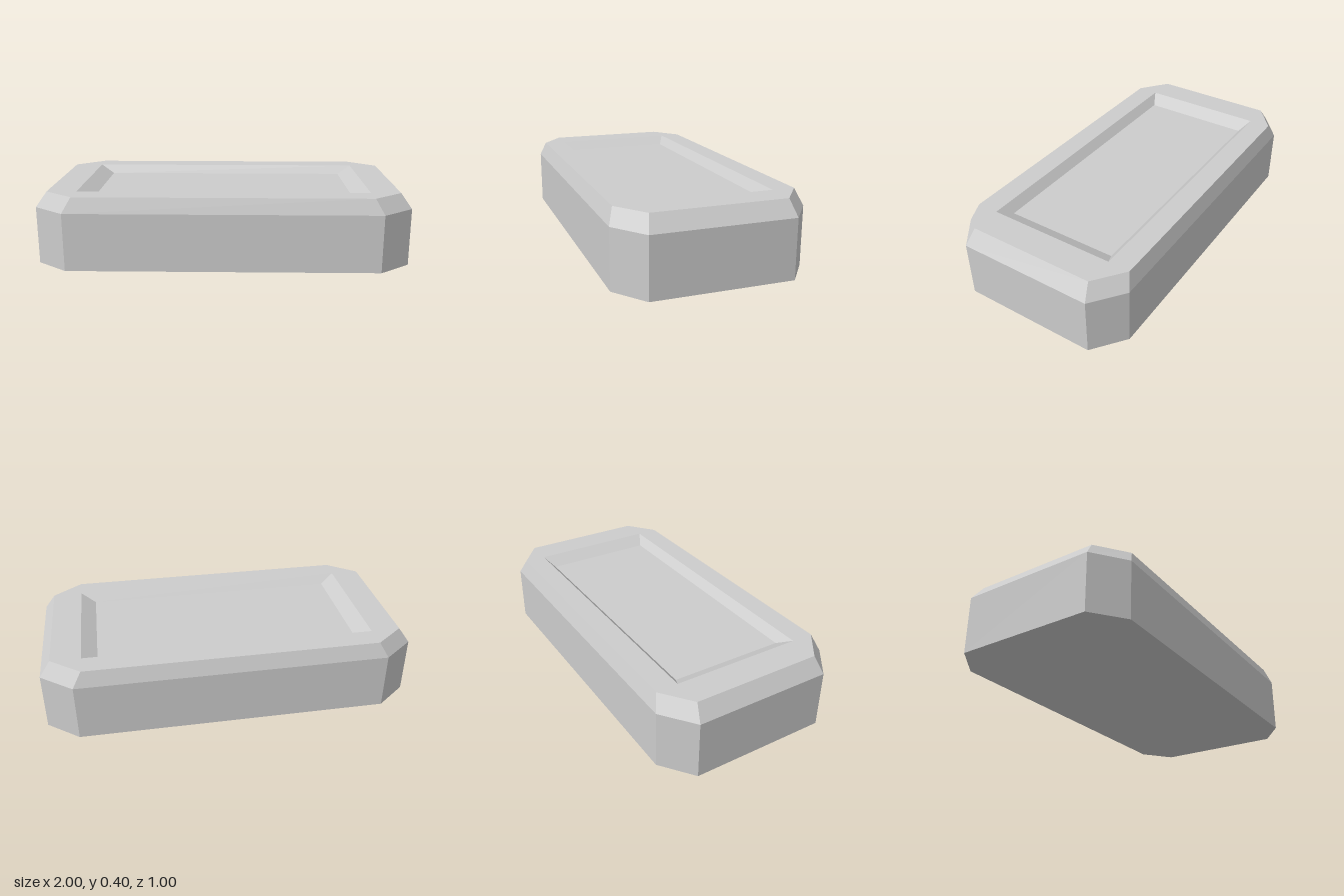
import * as THREE from 'three';

// Chamfered rectangle at height y: half sizes hx, hz; chamfers start at cx, cz
function ring(y, hx, hz, cx = hx, cz = hz) {
  return [[hx, cz], [hx, -cz], [cx, -hz], [-cx, -hz], [-hx, -cz], [-hx, cz], [-cx, hz], [cx, hz]]
    .map(([x, z]) => new THREE.Vector3(x, y, z));
}

// Flat-faced geometry from triangles, leaving out empty ones
function fromTriangles(triangles) {
  const points = triangles
    .filter(([a, b, c]) => new THREE.Triangle(a, b, c).getArea() > 1e-6)
    .flat();
  const geometry = new THREE.BufferGeometry().setFromPoints(points);
  geometry.computeVertexNormals();
  return geometry;
}

// Band of faces from one ring to the next
function band(from, to) {
  return fromTriangles(from.flatMap((a, i) => {
    const j = (i + 1) % from.length;
    return [[a, from[j], to[j]], [a, to[j], to[i]]];
  }));
}

// Flat face filling a ring
function cap(points) {
  return fromTriangles(points.slice(1, -1).map((p, i) => [points[0], p, points[i + 2]]));
}

export function createModel() {
  const group = new THREE.Group();
  group.name = 'recessedSlab';
  const grey = new THREE.MeshStandardMaterial({ color: 0xcccccc, flatShading: true });
  grey.name = 'lightGrey';

  const base = ring(0, 1, 0.5, 0.832, 0.37);
  const shoulder = ring(0.313, 1, 0.5, 0.832, 0.37);
  const top = ring(0.395, 0.942, 0.471, 0.785, 0.35);
  const recessEdge = ring(0.395, 0.783, 0.352);
  const recessBottom = ring(0.35, 0.702, 0.31);

  const parts = {
    underside: cap([...base].reverse()),
    sideWalls: band(base, shoulder),
    bevel: band(shoulder, top),
    topRim: band(top, recessEdge),
    recessWalls: band(recessEdge, recessBottom),
    recessFloor: cap(recessBottom),
  };
  for (const [name, geometry] of Object.entries(parts)) {
    const mesh = new THREE.Mesh(geometry, grey);
    mesh.name = name;
    group.add(mesh);
  }
  return group;
}
